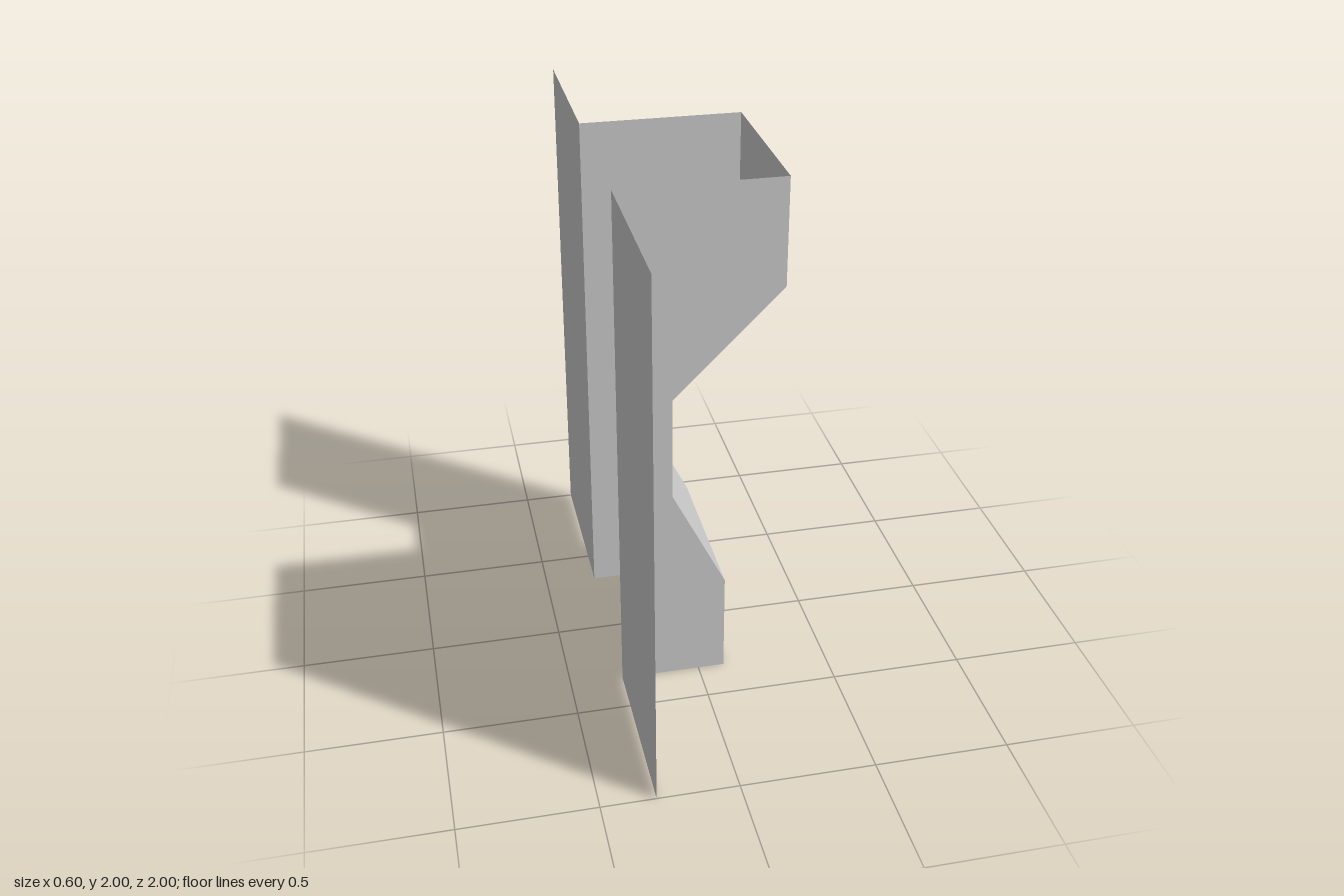
import * as THREE from 'three';

const BACK = -0.3;      // plane of the side flanges
const HALF = 1 / 3;     // half width of the folded channel
const PROFILE = [[0.1, 0], [0.1, 0.4], [-0.1, 0.8], [-0.1, 1.2], [0.3, 1.6], [0.3, 2]];

const material = new THREE.MeshStandardMaterial({
  color: 0xcccccc, flatShading: true, side: THREE.DoubleSide,
});

function addMesh(group, name, geometry) {
  const mesh = new THREE.Mesh(geometry, material);
  mesh.name = name;
  group.add(mesh);
  return mesh;
}

// One flat panel of the folded face, spanning two profile points
function facePanel([x0, y0], [x1, y1]) {
  const geometry = new THREE.PlaneGeometry(2 * HALF, Math.hypot(x1 - x0, y1 - y0));
  geometry.rotateY(Math.PI / 2);
  geometry.rotateZ(Math.atan2(x0 - x1, y1 - y0));
  geometry.translate((x0 + x1) / 2, (y0 + y1) / 2, 0);
  return geometry;
}

// Side of the channel between two profile points, reaching back to the flange
function sidePanel([x0, y0], [x1, y1]) {
  const corners = [[BACK, y0], [x0, y0], [x1, y1], [BACK, y1]];
  return new THREE.ShapeGeometry(new THREE.Shape(corners.map(([x, y]) => new THREE.Vector2(x, y))));
}

export function createModel() {
  const model = new THREE.Group();
  model.name = 'foldedPanel';

  for (let i = 0; i < PROFILE.length - 1; i++) {
    const a = PROFILE[i], b = PROFILE[i + 1];
    const row = new THREE.Group();
    row.name = `row${i + 1}`;
    model.add(row);

    addMesh(row, 'channelFace', facePanel(a, b));

    for (const [side, s] of [['front', 1], ['back', -1]]) {
      const wall = addMesh(row, `${side}ChannelWall`, sidePanel(a, b));
      wall.position.z = s * HALF;
      if (s < 0) wall.geometry.index.array.reverse();

      // Flat flange beside the channel
      const flange = addMesh(row, `${side}Flange`,
        new THREE.PlaneGeometry(1 - HALF, b[1] - a[1]).rotateY(Math.PI / 2));
      flange.position.set(BACK, (a[1] + b[1]) / 2, s * (1 + HALF) / 2);
    }
  }
  return model;
}
